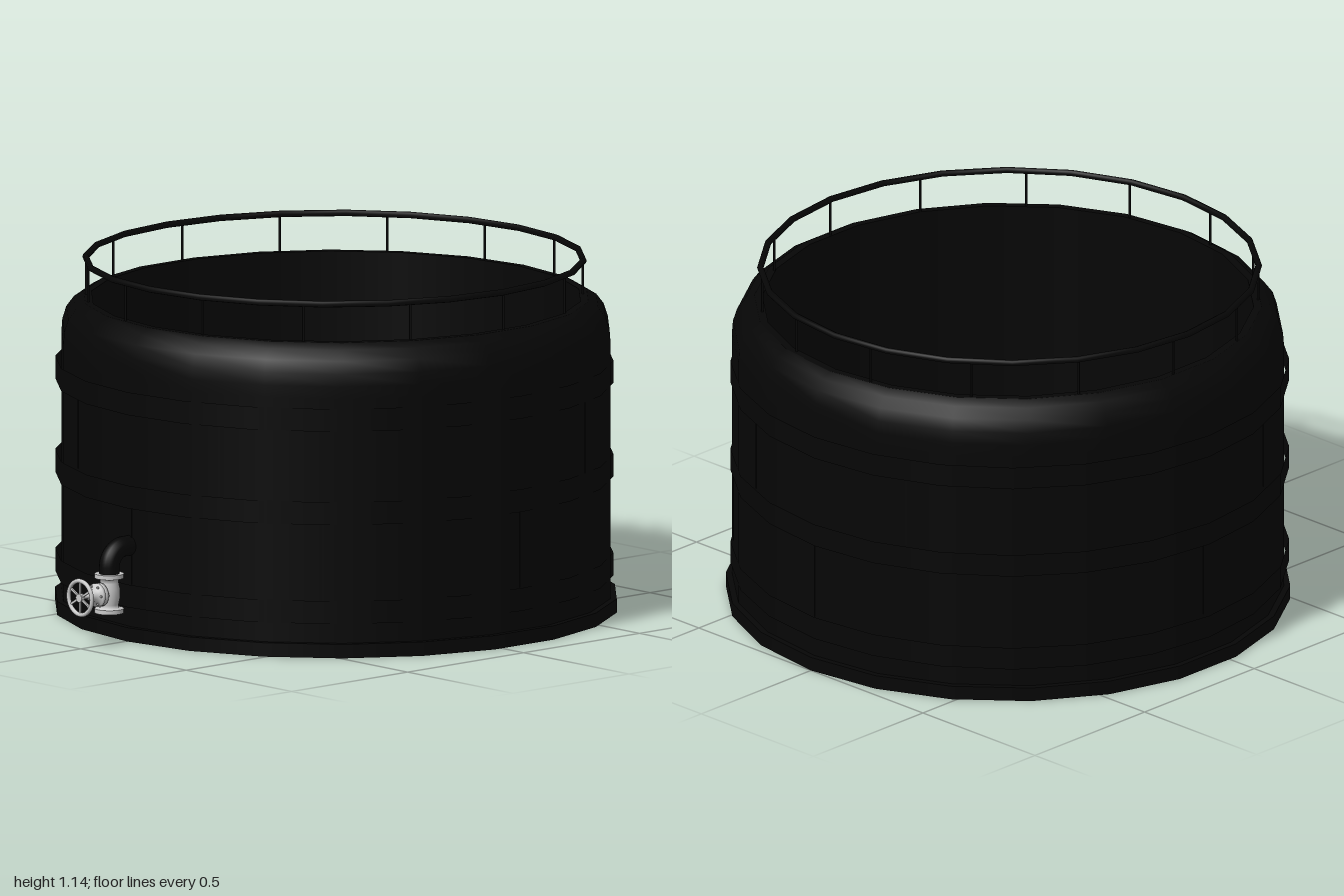
import * as THREE from 'three';

const DARK = new THREE.MeshStandardMaterial({ color: 0x060606, side: THREE.DoubleSide });
const GREY = new THREE.MeshStandardMaterial({ color: 0xcccccc });
const SIDES = 22, BODY_R = 0.882, TANK_Z = -0.098;

function add(parent, name, geometry, material, x = 0, y = 0, z = 0) {
  const mesh = new THREE.Mesh(geometry, material);
  mesh.name = name;
  mesh.position.set(x, y, z);
  parent.add(mesh);
  return mesh;
}

const lathe = (points, sides) =>
  new THREE.LatheGeometry(points.map(([r, y]) => new THREE.Vector2(r, y)), sides);

// Distance from the axis to the faceted tank wall at a given angle
function wallRadius(angle) {
  const step = (Math.PI * 2) / SIDES;
  const a = ((angle % step) + step) % step;
  return BODY_R * Math.cos(step / 2) / Math.cos(a - step / 2);
}

function createTank() {
  const tank = new THREE.Group();
  tank.name = 'tank';
  tank.position.set(0.003, 0, TANK_Z);

  add(tank, 'base', new THREE.CylinderGeometry(0.902, 0.902, 0.045, SIDES), DARK, 0, 0.0255);

  // Open-topped wall: outside, rounded shoulder, flat rim, then the inside and floor
  add(tank, 'shell', lathe([[BODY_R, 0.04], [BODY_R, 0.84], [BODY_R, 0.88], [0.879, 0.92],
    [0.866, 0.96], [0.842, 0.992], [0.81, 1.01]], SIDES), DARK);
  add(tank, 'rim', lathe([[0.81, 1.01], [0.785, 1.01]], SIDES), DARK);
  add(tank, 'innerWall', lathe([[0.785, 1.01], [0.785, 0.05]], SIDES), DARK);
  add(tank, 'floor', lathe([[0.785, 0.05], [0, 0.05]], SIDES), DARK);

  // Reinforcing hoops
  for (const y of [0.148, 0.469, 0.772])
    add(tank, 'hoop', new THREE.CylinderGeometry(0.891, 0.891, 0.074, 24, 1, true), DARK, -0.008, y);

  // Staggered plate seams between the hoops
  [[0.185, 0.432, 0], [0.506, 0.735, Math.PI / 8]].forEach(([y0, y1, shift]) => {
    for (let i = 0; i < 8; i++) {
      const a = shift + (i * Math.PI) / 4, r = wallRadius(a);
      const seam = add(tank, 'plateSeam', new THREE.BoxGeometry(0.005, y1 - y0, 0.004), DARK,
        r * Math.sin(a), (y0 + y1) / 2, r * Math.cos(a));
      seam.rotation.y = a;
    }
  });
  return tank;
}

function createRailing() {
  const railing = new THREE.Group();
  railing.name = 'railing';
  railing.position.set(-0.004, 0, TANK_Z);

  const rail = add(railing, 'handrail', new THREE.TorusGeometry(0.795, 0.0105, 8, 24), DARK, 0, 1.131);
  rail.rotation.x = Math.PI / 2;

  // Posts every 25 degrees, the last one close to the first
  for (let i = 0; i < 15; i++) {
    const a = THREE.MathUtils.degToRad(-34.5 + 25 * i);
    add(railing, 'railPost', new THREE.CylinderGeometry(0.004, 0.004, 0.125, 8), DARK,
      0.793 * Math.sin(a), 1.07, 0.793 * Math.cos(a));
  }
  return railing;
}

function createOutlet() {
  const outlet = new THREE.Group();
  outlet.name = 'outlet';
  outlet.position.x = -0.011;

  // Pipe leaving the wall and bending down
  const V = (y, z) => new THREE.Vector3(0, y, z);
  const path = new THREE.CurvePath();
  path.add(new THREE.LineCurve3(V(0.31, 0.74), V(0.31, 0.805)));
  path.add(new THREE.CubicBezierCurve3(V(0.31, 0.805), V(0.31, 0.84), V(0.282, 0.867), V(0.25, 0.867)));
  path.add(new THREE.LineCurve3(V(0.25, 0.867), V(0.225, 0.867)));
  add(outlet, 'elbowPipe', new THREE.TubeGeometry(path, 28, 0.033, 16), DARK);

  // Flanged valve body
  add(outlet, 'valveBody', lathe([[0, 0.103], [0.047, 0.103], [0.047, 0.103], [0.047, 0.117],
    [0.047, 0.117], [0.03, 0.118], [0.03, 0.13], [0.034, 0.15], [0.034, 0.182], [0.03, 0.2],
    [0.03, 0.215], [0.047, 0.216], [0.047, 0.216], [0.047, 0.23], [0.047, 0.23], [0, 0.23]], 24),
    GREY, 0, 0, 0.867);

  // Bonnet and stem pointing forward
  const bonnet = add(outlet, 'bonnetAndStem', lathe([[0.025, 0], [0.025, 0.035], [0.038, 0.036],
    [0.038, 0.046], [0.034, 0.047], [0.034, 0.049], [0.038, 0.05], [0.038, 0.06], [0.022, 0.062],
    [0.018, 0.078], [0.012, 0.084], [0.012, 0.092], [0.006, 0.093], [0.006, 0.131], [0, 0.131]], 20),
    GREY, 0, 0.166, 0.867);
  bonnet.rotation.x = Math.PI / 2;

  for (let i = 0; i < 6; i++) {
    const a = (i * Math.PI) / 3;
    const bolt = add(outlet, 'bonnetBolt', new THREE.CylinderGeometry(0.004, 0.004, 0.034, 6), GREY,
      0.031 * Math.cos(a), 0.166 + 0.031 * Math.sin(a), 0.915);
    bolt.rotation.x = Math.PI / 2;
  }

  // Handwheel
  const wheel = new THREE.Group();
  wheel.name = 'handwheel';
  wheel.position.set(0, 0.166, 0.992);
  outlet.add(wheel);
  add(wheel, 'wheelRim', new THREE.TorusGeometry(0.055, 0.007, 10, 32), GREY);
  const hub = add(wheel, 'wheelHub', new THREE.CylinderGeometry(0.014, 0.014, 0.014, 16), GREY);
  hub.rotation.x = Math.PI / 2;
  for (let i = 0; i < 6; i++) {
    const a = (i * Math.PI) / 3 + Math.PI / 6;
    const spoke = add(wheel, 'wheelSpoke', new THREE.BoxGeometry(0.046, 0.007, 0.006), GREY,
      0.033 * Math.cos(a), 0.033 * Math.sin(a), 0);
    spoke.rotation.z = a;
  }
  return outlet;
}

export function createModel() {
  const model = new THREE.Group();
  model.name = 'storageTank';
  model.add(createTank(), createRailing(), createOutlet());
  return model;
}
